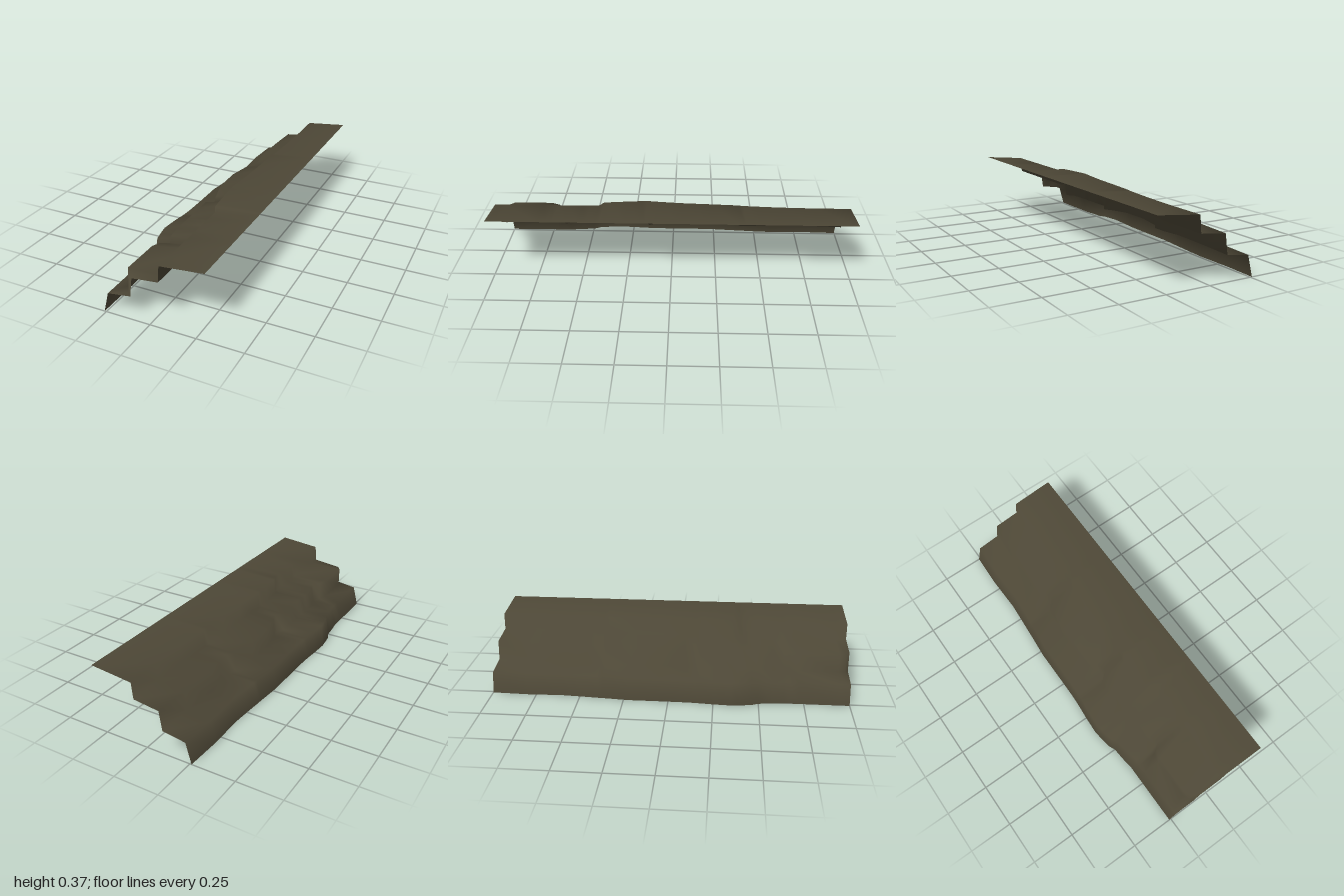
import * as THREE from 'three';

// Sections along the ledge: z, x of the lowest riser's foot, the middle riser's foot, the upper riser's foot
const SECTIONS = [
  [-1, -0.26, -0.1, 0.06],
  [-0.8, -0.267, -0.108, 0.06],
  [-0.6, -0.262, -0.112, 0.057],
  [-0.48, -0.27, -0.102, 0.053],
  [-0.4, -0.276, -0.1, 0.05],
  [-0.37, -0.278, -0.122, 0.047],
  [-0.22, -0.29, -0.14, 0.042],
  [-0.05, -0.29, -0.138, 0.037],
  [0.08, -0.291, -0.115, 0.03],
  [0.14, -0.293, -0.098, 0.026],
  [0.17, -0.295, -0.128, 0.027],
  [0.25, -0.302, -0.127, 0.031],
  [0.35, -0.307, -0.126, 0.037],
  [0.385, -0.303, -0.126, 0.04],
  [0.41, -0.3, -0.126, 0.058],
  [0.46, -0.293, -0.126, 0.06],
  [0.5, -0.275, -0.125, 0.06],
  [0.58, -0.268, -0.12, 0.06],
  [0.64, -0.26, -0.1, 0.06],
  [0.67, -0.26, -0.128, 0.06],
  [0.72, -0.26, -0.142, 0.06],
  [0.94, -0.26, -0.142, 0.06],
  [0.98, -0.26, -0.122, 0.06],
  [1, -0.26, -0.1, 0.06],
];

const mix = THREE.MathUtils.lerp;
const amount = (x, rest, reach) => THREE.MathUtils.clamp((rest - x) / reach, 0, 1);

// Stepped outline at one section; bulging rock stands steeper and higher
function profile([, low, mid, high]) {
  const a = amount(low, -0.26, 0.05);
  const b = amount(mid, -0.1, 0.04);
  const c = amount(high, 0.06, 0.034);
  return [
    [low, 0],
    [low + mix(0.03, 0.013, a), mix(0.115, 0.133, a)],
    [mid, mix(0.134, 0.146, b)],
    [mid + mix(0.015, 0, b), mix(0.242, 0.252, b)],
    [high, mix(0.259, 0.268, c)],
    [high + mix(0.008, 0.004, c), mix(0.35, 0.364, c)],
    [0.305, 0.374],
  ];
}

// Skin the sections into one smooth sheet
function steppedSheet() {
  const positions = [];
  const indices = [];
  const n = 7;
  SECTIONS.forEach((section, j) => {
    profile(section).forEach(([x, y], i) => {
      positions.push(x, y, section[0]);
      if (j === 0 || i === 0) return;
      const d = j * n + i;
      const c = d - 1;
      const b = d - n;
      const a = b - 1;
      indices.push(a, c, b, b, c, d);
    });
  });
  const geometry = new THREE.BufferGeometry();
  geometry.setAttribute('position', new THREE.Float32BufferAttribute(positions, 3));
  geometry.setIndex(indices);
  geometry.computeVertexNormals();
  return geometry;
}

export function createModel() {
  const group = new THREE.Group();
  group.name = 'steppedLedge';
  const rock = new THREE.MeshStandardMaterial({ color: 0x4d4736, side: THREE.DoubleSide });
  rock.name = 'dark olive rock';
  const ledge = new THREE.Mesh(steppedSheet(), rock);
  ledge.name = 'rockSteps';
  group.add(ledge);
  return group;
}
